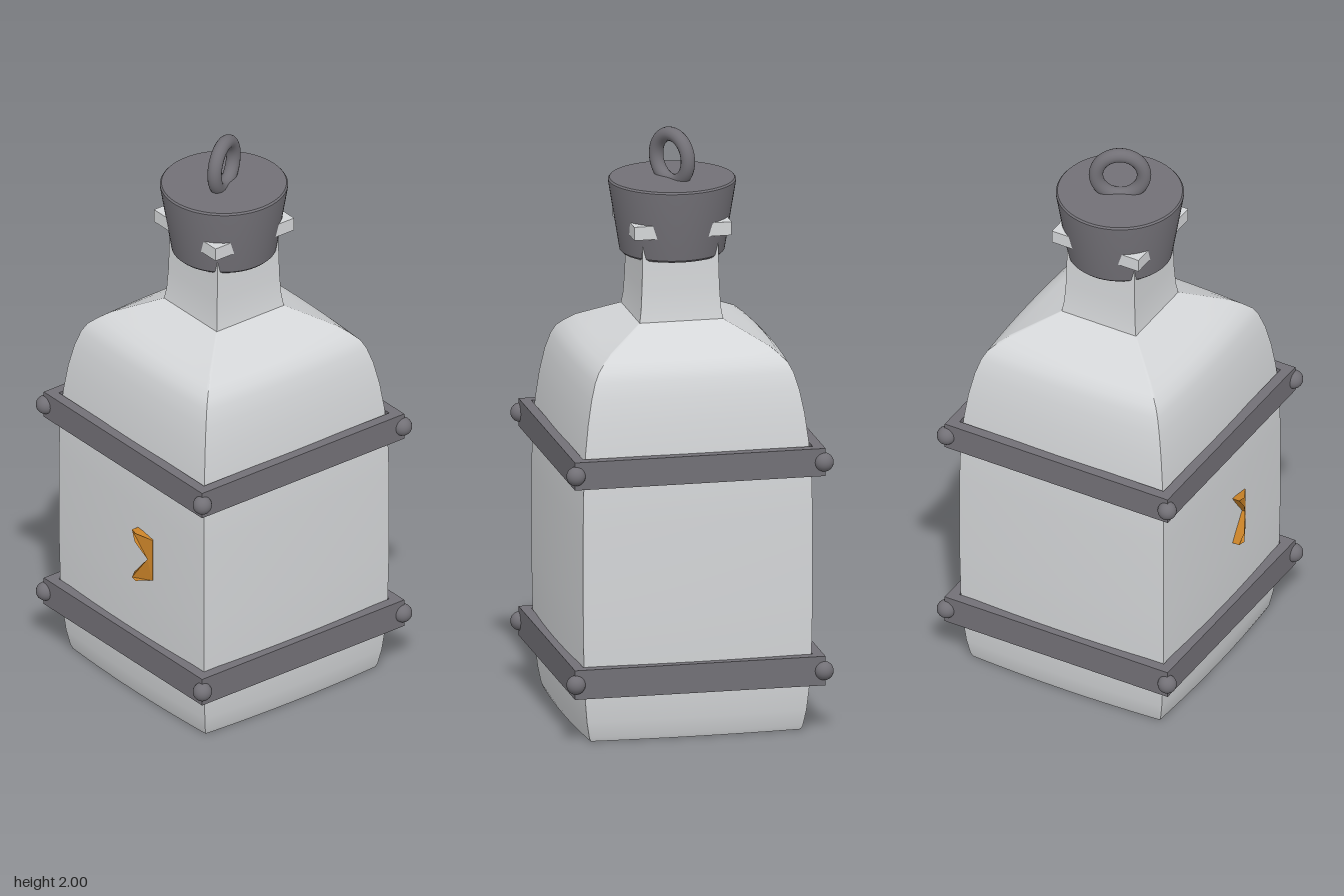
import * as THREE from 'three';
import { toCreasedNormals } from 'three/addons/utils/BufferGeometryUtils.js';

const glass = new THREE.MeshStandardMaterial({ name: 'pale glass', color: 0xd4d6d8 });
const metal = new THREE.MeshStandardMaterial({ name: 'dark metal', color: 0x727076 });
const amber = new THREE.MeshStandardMaterial({ name: 'amber', color: 0xc98228 });

function add(parent, name, geometry, material, x = 0, y = 0, z = 0) {
  const mesh = new THREE.Mesh(geometry, material);
  mesh.name = name;
  mesh.position.set(x, y, z);
  parent.add(mesh);
  return mesh;
}

// Square cross-sections stacked along a [half width, height] profile
function squareLoft(profile, perSide = 12) {
  const pos = [], index = [], n = perSide * 4;
  for (const [h, y] of profile) {
    const bulge = h > 0.3 ? 0.012 : 0;
    for (let side = 0; side < 4; side++) {
      const a = side * Math.PI / 2, c = Math.cos(a), s = Math.sin(a);
      for (let i = 0; i < perSide; i++) {
        const t = Math.sin((i / perSide - 0.5) * Math.PI);
        const corner = h - bulge;
        const out = corner + bulge * (1 - t * t), along = -corner * t;
        pos.push(out * c + along * s, y, -out * s + along * c);
      }
    }
  }
  // each side runs the same way round, so the rings close on themselves
  const rows = profile.length;
  for (let r = 0; r < rows - 1; r++) {
    for (let i = 0; i < n; i++) {
      const a = r * n + i, b = r * n + (i + 1) % n;
      index.push(a, a + n, b, b, a + n, b + n);
    }
  }
  // bottom and top caps
  const low = pos.length / 3;
  pos.push(0, profile[0][1], 0, 0, profile[rows - 1][1], 0);
  for (let i = 0; i < n; i++) {
    const j = (i + 1) % n, top = (rows - 1) * n;
    index.push(low, i, j, low + 1, top + j, top + i);
  }
  // make the winding face outward whichever way the rings run
  const p = k => new THREE.Vector3().fromArray(pos, index[k] * 3);
  const normal = p(1).sub(p(0)).cross(p(2).sub(p(0)));
  if (normal.dot(p(0).setY(0)) < 0) {
    for (let k = 0; k < index.length; k += 3) [index[k], index[k + 1]] = [index[k + 1], index[k]];
  }
  const g = new THREE.BufferGeometry();
  g.setAttribute('position', new THREE.Float32BufferAttribute(pos, 3));
  g.setIndex(index);
  return toCreasedNormals(g, 0.87);
}

export function createModel() {
  const model = new THREE.Group();
  model.name = 'bottle';

  // Bottle with rounded shoulders and a square neck
  add(model, 'bottleBody', squareLoft([
    [0.37, 0], [0.376, 0.015], [0.386, 0.07], [0.394, 0.15], [0.4, 0.27], [0.403, 0.45],
    [0.403, 0.75], [0.4, 0.9], [0.392, 1.0], [0.381, 1.09], [0.366, 1.17], [0.35, 1.225],
    [0.335, 1.255], [0.31, 1.28], [0.27, 1.303], [0.2, 1.34], [0.142, 1.37],
    [0.136, 1.41], [0.132, 1.48], [0.13, 1.56], [0.128, 1.67],
  ]), glass);
  add(model, 'neckLip', new THREE.BoxGeometry(0.332, 0.046, 0.332), glass, 0, 1.685, 0);

  // Tapered stopper and its pull ring
  const stopper = new THREE.LatheGeometry([
    [0, 1.578], [0.168, 1.578], [0.175, 1.585], [0.213, 1.818], [0.213, 1.824], [0.208, 1.83], [0, 1.83],
  ].map(([x, y]) => new THREE.Vector2(x, y)), 64);
  add(model, 'stopper', toCreasedNormals(stopper, 0.6), metal);
  const ring = add(model, 'pullRing', new THREE.TorusGeometry(0.08, 0.024, 16, 48), metal, 0, 1.896, 0);
  ring.rotation.y = -1.07;

  // Two square bands with a round stud at each corner
  for (const [name, y, height] of [['lowerBand', 0.215, 0.1], ['upperBand', 0.933, 0.095]]) {
    const band = new THREE.Group();
    band.name = name;
    band.position.y = y;
    model.add(band);
    const outer = 0.427, inner = 0.391, mid = (outer + inner) / 2, thick = outer - inner;
    for (const s of [-1, 1]) {
      add(band, 'bandStrip', new THREE.BoxGeometry(outer * 2, height, thick), metal, 0, 0, s * mid);
      add(band, 'bandStrip', new THREE.BoxGeometry(thick, height, inner * 2), metal, s * mid, 0, 0);
      for (const t of [-1, 1]) {
        add(band, 'cornerStud', new THREE.SphereGeometry(0.032, 24, 16), metal, s * 0.423, 0, t * 0.423);
      }
    }
  }

  // Notched amber mark, sloping into the front face
  const shape = new THREE.Shape([
    [0.05, 0.67], [0.073, 0.636], [0.115, 0.58], [0.073, 0.522],
    [0.05, 0.487], [0.075, 0.486], [0.131, 0.502], [0.131, 0.657], [0.075, 0.668],
  ].map(([x, y]) => new THREE.Vector2(x, y)));
  const mark = new THREE.ExtrudeGeometry(shape, { depth: 0.04, bevelEnabled: false });
  const p = mark.attributes.position;
  for (let i = 0; i < p.count; i++) {
    const slope = 0.436 - Math.max(0, p.getX(i) - 0.07) * 0.5 - Math.max(0, 0.07 - p.getX(i)) * 0.4;
    p.setZ(i, p.getZ(i) > 0.02 ? slope : 0.39);
  }
  mark.computeVertexNormals();
  add(model, 'frontMark', mark, amber);

  return model;
}
